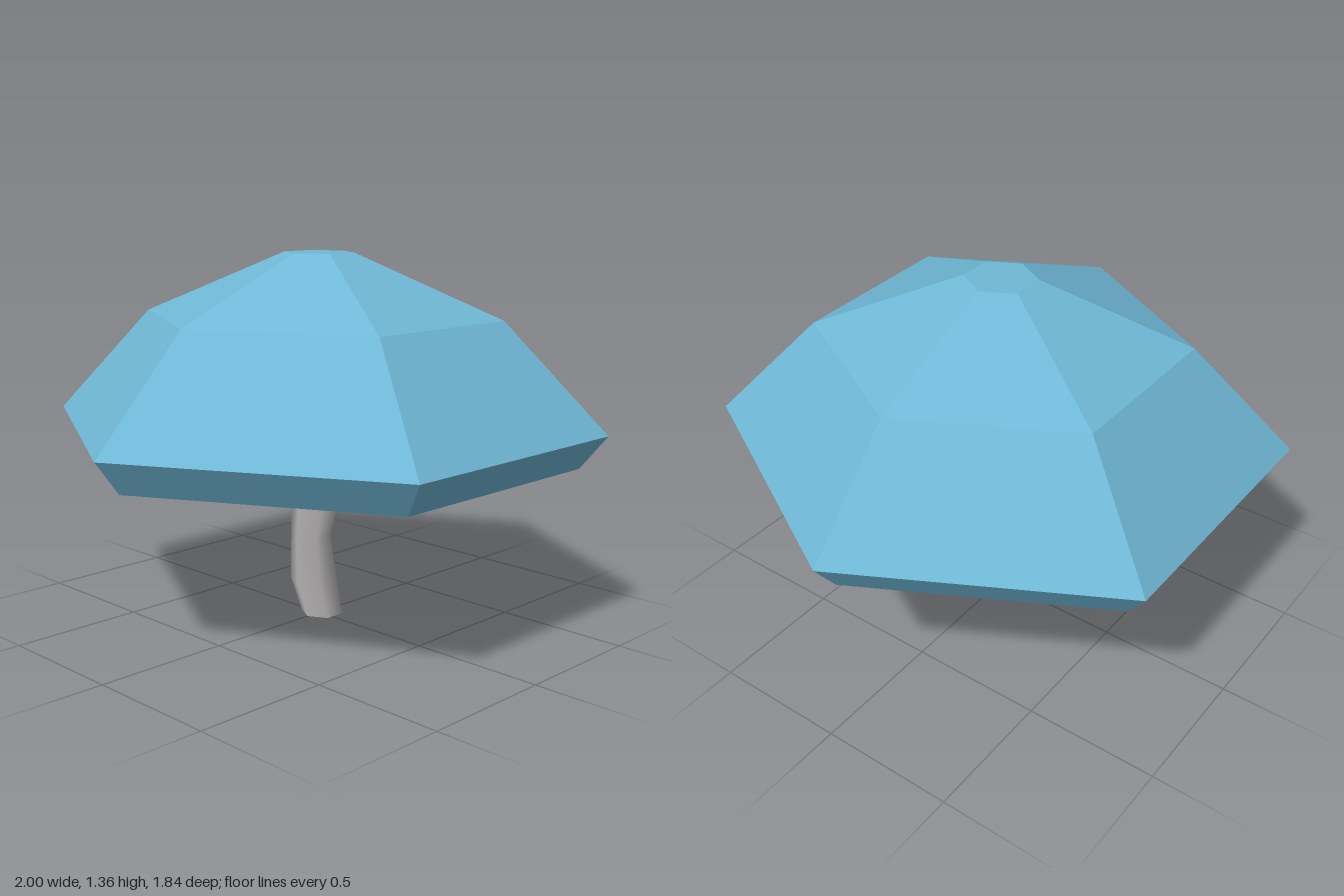
import * as THREE from 'three';

const DEPTH = 1.06; // every hexagon is slightly stretched along z

function mat(name, color) {
  const m = new THREE.MeshStandardMaterial({ color });
  m.name = name;
  return m;
}

// Six-sided stack of rings [y, radiusX, centreX, radiusZ], corners on the x axis
function hexStack(rings) {
  const n = rings.length - 1;
  const geo = new THREE.CylinderGeometry(1, 1, n, 6, n, false, Math.PI / 2);
  const p = geo.attributes.position;
  for (let i = 0; i < p.count; i++) {
    const [y, rx, cx = 0, rz = rx * DEPTH] = rings[Math.round(p.getY(i) + n / 2)];
    p.setXYZ(i, cx + p.getX(i) * rx, y, p.getZ(i) * rz);
  }
  return geo;
}

function faceted(geo) {
  const flat = geo.toNonIndexed();
  flat.computeVertexNormals();
  return flat;
}

export function createModel() {
  const group = new THREE.Group();
  const blue = mat('cap blue', 0x6fb8d6);
  const grey = mat('stem grey', 0xb4b2b2);

  const add = (name, geo, material) => {
    const mesh = new THREE.Mesh(geo, material);
    mesh.name = name;
    group.add(mesh);
  };

  // Faceted cap with a bevelled rim and a small flat crown
  add('cap', faceted(hexStack([
    [0.622, 0.908], [0.744, 1], [1.133, 0.643], [1.36, 0.125],
  ])), blue);

  // Gill collar under the cap, its front and back corners pulled outwards
  const collar = hexStack([[0.52, 0.265, -0.005, 0.217], [0.622, 0.352, -0.008, 0.398]]);
  const p = collar.attributes.position;
  for (let i = 0; i < p.count; i++) {
    if (Math.abs(p.getZ(i)) > 0.1) p.setX(i, p.getX(i) > 0 ? 0.13 : -0.145);
  }
  add('gillCollar', faceted(collar), grey);

  // Smooth, crooked stem
  add('stem', hexStack([
    [0, 0.076, 0.014], [0.14, 0.087, -0.028], [0.32, 0.073, -0.044], [0.525, 0.096, -0.006],
  ]), grey);

  return group;
}
